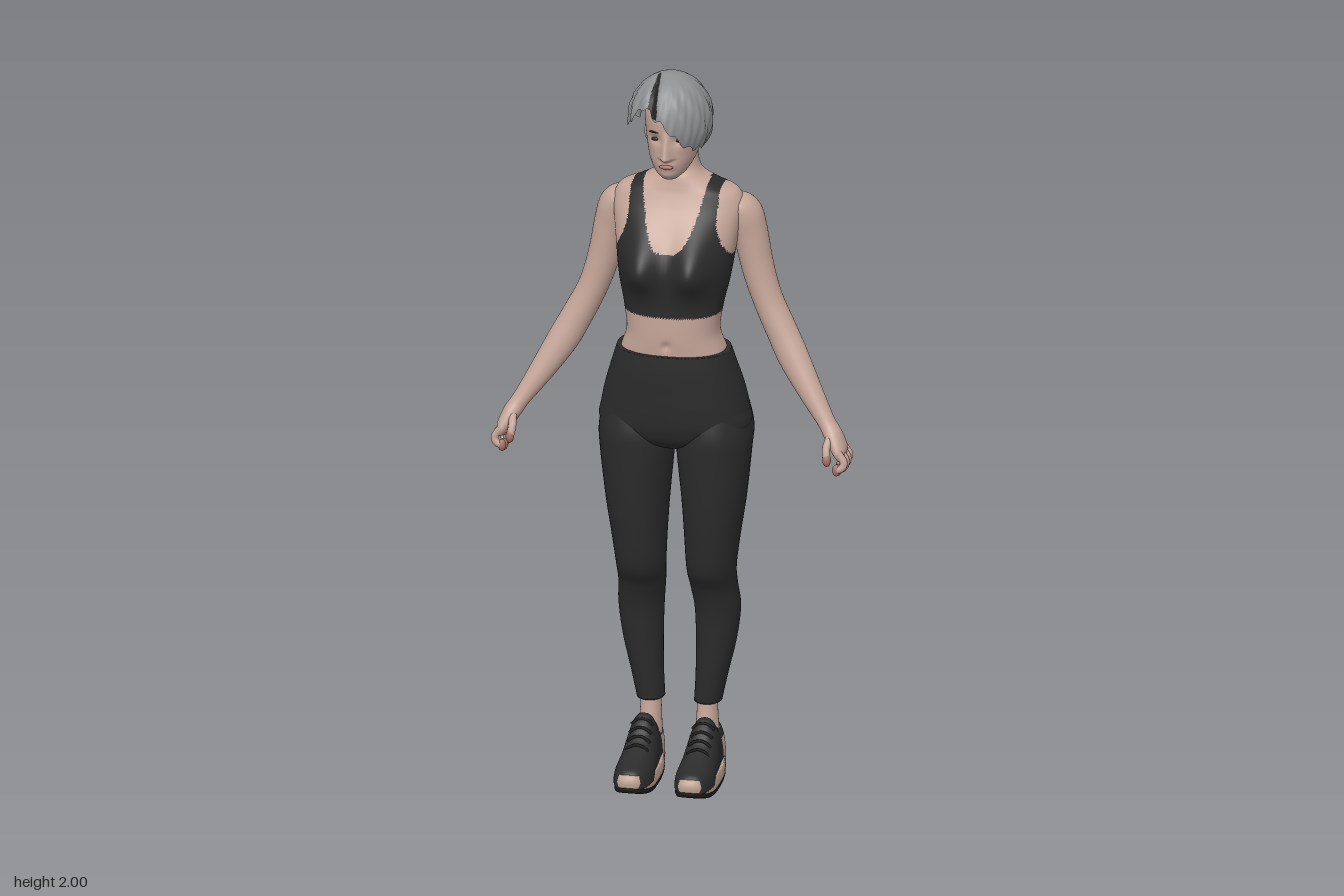
import * as THREE from 'three';

const mat = (name, color, side = THREE.FrontSide) => {
  const m = new THREE.MeshStandardMaterial({ color, side });
  m.name = name;
  return m;
};
const skin = mat('skin', 0xc6a699), blush = mat('blush', 0xa5736a), cloth = mat('black cloth', 0x2b2b2b);
const dark = mat('dark hair', 0x222222, THREE.DoubleSide), grey = mat('grey hair', 0x8d8f91, THREE.DoubleSide);
const sole = mat('pale rubber', 0xc4a898), tread = mat('tread', 0x1f1f1f);

const clamp = (v) => Math.min(1, Math.max(0, v));
const bump = (d, s) => Math.exp(-(d * d) / (s * s));
const pow = (v, e) => Math.sign(v) * Math.abs(v) ** e;

// Catmull-Rom sample of every column of a section table
function sample(table, t) {
  const f = clamp(t) * (table.length - 1), i = Math.min(Math.floor(f), table.length - 2), u = f - i;
  const at = (k) => table[Math.min(table.length - 1, Math.max(0, k))];
  const [a, b, c, d] = [at(i - 1), at(i), at(i + 1), at(i + 2)];
  return b.map((_, k) => b[k] + 0.5 * u * (c[k] - a[k] + u * (2 * a[k] - 5 * b[k] + 4 * c[k] - d[k]
    + u * (3 * (b[k] - c[k]) + d[k] - a[k]))));
}

// Closed tube surface from fn(t, angle); rule(centre) picks the material of each face
function skinMesh(name, mats, rows, cols, fn, { caps = true, rule = () => 0 } = {}) {
  const pts = [], tris = [];
  for (let r = 0; r <= rows; r++)
    for (let c = 0; c < cols; c++) pts.push(new THREE.Vector3(...fn(r / rows, (c / cols) * Math.PI * 2)));
  for (let r = 0; r < rows; r++)
    for (let c = 0; c < cols; c++) {
      const a = r * cols + c, b = r * cols + (c + 1) % cols;
      tris.push([a, b, a + cols], [b, b + cols, a + cols]);
    }
  if (caps) for (const r of [0, rows]) {
    const mid = new THREE.Vector3();
    for (let c = 0; c < cols; c++) mid.addScaledVector(pts[r * cols + c], 1 / cols);
    const m = pts.push(mid) - 1;
    for (let c = 0; c < cols; c++) {
      const a = r * cols + c, b = r * cols + (c + 1) % cols;
      tris.push(r ? [a, b, m] : [b, a, m]);
    }
  }
  // turn all faces outward
  const o = new THREE.Box3().setFromPoints(pts).getCenter(new THREE.Vector3());
  const [p, q, w] = [0, 1, 2].map(() => new THREE.Vector3());
  let vol = 0;
  for (const [a, b, c] of tris)
    vol += p.copy(pts[a]).sub(o).dot(q.copy(pts[b]).sub(o).cross(w.copy(pts[c]).sub(o)));
  const list = Array.isArray(mats) ? mats : [mats], byMat = list.map(() => []);
  for (const [a, b, c] of tris) {
    p.copy(pts[a]).add(pts[b]).add(pts[c]).divideScalar(3);
    byMat[rule(p)].push(...(vol < 0 ? [a, c, b] : [a, b, c]));
  }
  const g = new THREE.BufferGeometry().setFromPoints(pts);
  g.setIndex(byMat.flat());
  let start = 0;
  byMat.forEach((ix, i) => { g.addGroup(start, ix.length, i); start += ix.length; });
  g.computeVertexNormals();
  const mesh = new THREE.Mesh(g, list);
  mesh.name = name;
  return mesh;
}

// Horizontal superellipse section [y, cx, rx, zFront, zBack]
const oval = ([y, cx, rx, zf, zb], a, n = 2.3) => [cx + rx * pow(Math.cos(a), 2 / n), y,
  (zf + zb) / 2 + ((zf - zb) / 2) * pow(Math.sin(a), 2 / n)];

function ball(name, m, r, pos, scale) {
  const b = new THREE.Mesh(new THREE.SphereGeometry(r, 20, 14), m);
  b.name = name;
  b.position.set(...pos);
  b.scale.set(...scale);
  return b;
}

function makeTorso() {
  const table = [[1.15, 0, .15, .085, -.12], [1.22, 0, .143, .092, -.107], [1.28, 0, .125, .098, -.1],
    [1.35, 0, .133, .098, -.11], [1.42, 0, .148, .096, -.135], [1.5, 0, .16, .08, -.153], [1.57, 0, .171, .05, -.16],
    [1.62, 0, .176, .022, -.16], [1.655, 0, .16, .006, -.152], [1.675, 0, .115, 0, -.142], [1.7, 0, .07, -.006, -.13],
    [1.73, 0, .053, -.018, -.122], [1.78, 0, .05, -.015, -.117], [1.83, 0, .05, 0, -.11]];
  return skinMesh('torso and crop top', [skin, cloth], 150, 144, (t, a) => {
    const p = oval(sample(table, t), a), [x, y] = p;
    if (Math.sin(a) > 0) {
      const dy = y - 1.468;
      p[2] += Math.sin(a) ** .5 * .06 * bump(dy, dy < 0 ? .06 : .085) * (bump(x - .075, .055) + bump(x + .075, .055));
      p[2] -= .008 * bump(x, .01) * bump(y - 1.255, .012);
    } else p[2] += .01 * bump(x, .022) * clamp((1.6 - y) / .1);
    return p;
  }, { rule: ({ x, y, z }) => {
    // neckline scoop, straps and armholes of the top
    const ax = Math.abs(x), scoop = (z > -.07 ? 1.515 : 1.53) + .17 * (ax / .088) ** 3;
    const arm = .121 + .055 * clamp((1.59 - y) / .12) ** 1.5;
    return y > 1.338 && y < 1.69 && y < scoop && (y < 1.47 || ax < arm) ? 1 : 0;
  } });
}

function makeLeggings() {
  const g = new THREE.Group();
  g.name = 'leggings';
  const hips = [[1.228, 0, .153, .1, -.116], [1.18, 0, .168, .102, -.128], [1.12, 0, .186, .1, -.142],
    [1.06, 0, .199, .097, -.147], [1.01, 0, .203, .09, -.142], [.97, 0, .15, .07, -.12], [.945, 0, .06, .03, -.08]];
  g.add(skinMesh('hips', cloth, 60, 96, (t, a) => {
    const p = oval(sample(hips, t), a), [x, y] = p;
    if (Math.sin(a) < 0) p[2] -= .043 * bump(y - 1.045, .075) * (bump(x - .088, .055) + bump(x + .088, .055));
    return p;
  }));
  const leg = [[1.08, .11, .08, .065, -.14], [1.0, .107, .1, .085, -.165], [.94, .105, .1, .086, -.145],
    [.8, .104, .086, .077, -.138], [.7, .1, .075, .066, -.126], [.6, .096, .066, .049, -.117],
    [.54, .098, .063, .014, -.128], [.47, .104, .061, -.007, -.145], [.38, .1, .054, -.015, -.14],
    [.28, .088, .043, -.022, -.13], [.205, .078, .037, -.028, -.122]];
  const ankle = [[.24, .077, .028, -.04, -.11], [.18, .077, .028, -.035, -.105], [.1, .078, .033, -.02, -.11]];
  for (const s of [1, -1]) {
    const side = ([x, y, z]) => [s * x, y, z];
    g.add(skinMesh('leg', cloth, 70, 48, (t, a) => side(oval(sample(leg, t), a, 2.1))));
    g.add(skinMesh('ankle', skin, 8, 28, (t, a) => side(oval(sample(ankle, t), a, 2))));
  }
  return g;
}

function makeShoe(s) {
  const g = new THREE.Group();
  g.name = 'shoe';
  const upper = [[.182, .022, .058], [.168, .04, .074], [.12, .053, .09], [.06, .051, .118], [.015, .047, .16],
    [-.015, .044, .174], [-.055, .042, .145], [-.1, .038, .142], [-.121, .024, .12]];
  g.add(skinMesh('upper', [cloth, sole], 40, 40, (t, a) => {
    const [z, hw, top] = sample(upper, t), v = Math.sin(a);
    return [s * .083 + hw * pow(Math.cos(a), .8), v > 0 ? .03 + (top - .03) * v ** .85 : .03 + .012 * v, z];
  }, { rule: ({ y, z }) => (z < -.055 && y < .1 ? 1 : 0) }));
  // rubber layers follow one outline with a raised toe
  const layer = (name, m, table) => g.add(skinMesh(name, m, 6, 48, (t, a) => {
    const [y, k] = sample(table, t), z = .0325 + .158 * k * pow(Math.sin(a), .8);
    return [s * .083 + .055 * k * pow(Math.cos(a), .8) * (1 + .1 * Math.sin(a)),
      y + .018 * clamp((z - .09) / .1) ** 2, z];
  }));
  layer('midsole', sole, [[.011, .98], [.03, 1], [.05, .95]]);
  layer('outsole', tread, [[0, .95], [.008, .99], [.014, .985]]);
  // laces
  for (let i = 0; i < 4; i++) {
    const z = .075 - i * .022, y = .112 + i * .017;
    const path = new THREE.QuadraticBezierCurve3(new THREE.Vector3(s * .083 - .03, y - .014, z),
      new THREE.Vector3(s * .083, y + .018, z), new THREE.Vector3(s * .083 + .03, y - .014, z));
    const lace = new THREE.Mesh(new THREE.TubeGeometry(path, 8, .004, 6), tread);
    lace.name = 'lace';
    g.add(lace);
  }
  return g;
}

function makeArm(s) {
  const g = new THREE.Group();
  g.name = 'arm';
  // [x, y, z, radius across, radius front to back]
  const table = [[.14, 1.632, -.085, .022, .04], [.157, 1.61, -.087, .043, .055], [.177, 1.575, -.09, .05, .057],
    [.192, 1.52, -.092, .049, .053], [.212, 1.43, -.09, .045, .047], [.24, 1.345, -.085, .041, .044],
    [.278, 1.268, -.073, .042, .042], [.315, 1.2, -.055, .042, .039], [.368, 1.115, -.028, .033, .033],
    [.415, 1.045, -.003, .024, .027], [.437, 1.012, .008, .024, .036], [.457, .975, .015, .02, .045],
    [.465, .955, .017, .012, .04]];
  g.add(skinMesh('arm and palm', skin, 80, 36, (t, a) => {
    const [x, y, z, u, v] = sample(table, t), c = u * Math.cos(a);
    return [s * (x + .86 * c), y + .5 * c, z + v * Math.sin(a)];
  }));
  const finger = (pts, r) => {
    const v = pts.map(([x, y, z]) => new THREE.Vector3(s * x, y, z)), tip = v[v.length - 1];
    const tube = new THREE.Mesh(new THREE.TubeGeometry(new THREE.CatmullRomCurve3(v), 10, r, 10), skin);
    tube.name = 'finger';
    g.add(tube, ball('fingertip', blush, r * 1.04, tip.toArray(), [1, 1.5, 1]));
  };
  for (let i = 0; i < 4; i++) {
    const z = -.018 + i * .023, d = [.012, .003, 0, .006][i];
    finger([[.46, .975, z], [.476, .95, z + .002], [.472, .93 + d, z + .004], [.456, .922 + d, z + .004]], .0105);
  }
  finger([[.432, 1.01, .03], [.428, .985, .055], [.432, .958, .066]], .011);
  return g;
}

function makeHead() {
  const g = new THREE.Group();
  g.name = 'head';
  const table = [[1.722, 0, .022, .068, .01], [1.74, 0, .043, .081, -.045], [1.77, 0, .06, .089, -.1],
    [1.8, 0, .068, .091, -.12], [1.85, 0, .074, .094, -.126], [1.9, 0, .076, .095, -.12],
    [1.94, 0, .068, .078, -.105], [1.97, 0, .05, .045, -.08], [1.985, 0, .02, 0, -.03]];
  g.add(skinMesh('face', [skin, dark], 90, 120, (t, a) => {
    const p = oval(sample(table, t), a, 2.2), [x, y] = p, ax = Math.abs(x);
    if (Math.sin(a) > 0) {
      const ridge = y < 1.79 ? bump(y - 1.79, .009) : clamp(1 - (y - 1.79) / .075);
      p[2] += .029 * ridge * bump(x, .008 + .007 * ridge) + .005 * bump(y - 1.765, .012) * bump(x, .022);
      p[2] -= .011 * bump(ax - .032, .017) * bump(y - 1.838, .013);
      p[2] += .004 * bump(y - 1.735, .012) * bump(x, .02);
    }
    return p;
  }, { rule: ({ y, z }) => (z < -.052 && y > 1.768 ? 1 : 0) }));
  for (const s of [1, -1]) {
    g.add(ball('eye', dark, .01, [s * .032, 1.837, .076], [1.2, .5, .5]));
    const brow = ball('eyebrow', dark, .015, [s * .034, 1.859, .0845], [1.1, .15, .3]);
    brow.rotation.y = s * .3;
    g.add(brow, ball('ear', skin, .024, [s * .077, 1.82, -.035], [.4, 1.1, .7]));
  }
  g.add(ball('lips', blush, .018, [0, 1.764, .091], [1.05, .36, .4]));

  // swept hair: lower edge height around the head, starting at the left side
  const edge = [1.81, 1.805, 1.83, 1.89, 1.925, 1.87, 1.85, 1.85, 1.855, 1.85, 1.845, 1.835, 1.81].map((y) => [y]);
  g.add(skinMesh('swept hair', [grey, dark], 60, 144, (t, a) => {
    const low = sample(edge, a / (Math.PI * 2))[0] + .007 * Math.sin(a * 17);
    const phi = t * Math.acos(Math.max(-1, (low - 1.87) / .127));
    const lock = 1 + .022 * Math.sin(phi) * Math.sin(a * 13 + 5 * phi) + .012 * Math.sin(phi) * Math.sin(a * 29 - 7 * phi);
    const x = -.01 + .112 * lock * Math.sin(phi) * Math.cos(a), z = -.01 + .122 * lock * Math.sin(phi) * Math.sin(a);
    const part = z > 0 ? .012 * bump(x + .038, .012) * clamp(z / .03) : 0;
    return [x, 1.87 + .127 * Math.cos(phi) - part, z];
  }, { caps: false, rule: ({ x, y, z }) =>
    (z > -.01 && Math.abs(x + .038) < .003 + .1 * clamp(z + .01) && y > 1.9 ? 1 : 0) }));
  return g;
}

export function createModel() {
  const model = new THREE.Group();
  model.name = 'woman in sportswear';
  model.add(makeTorso(), makeLeggings(), makeHead());
  for (const s of [1, -1]) model.add(makeArm(s), makeShoe(s));
  return model;
}
